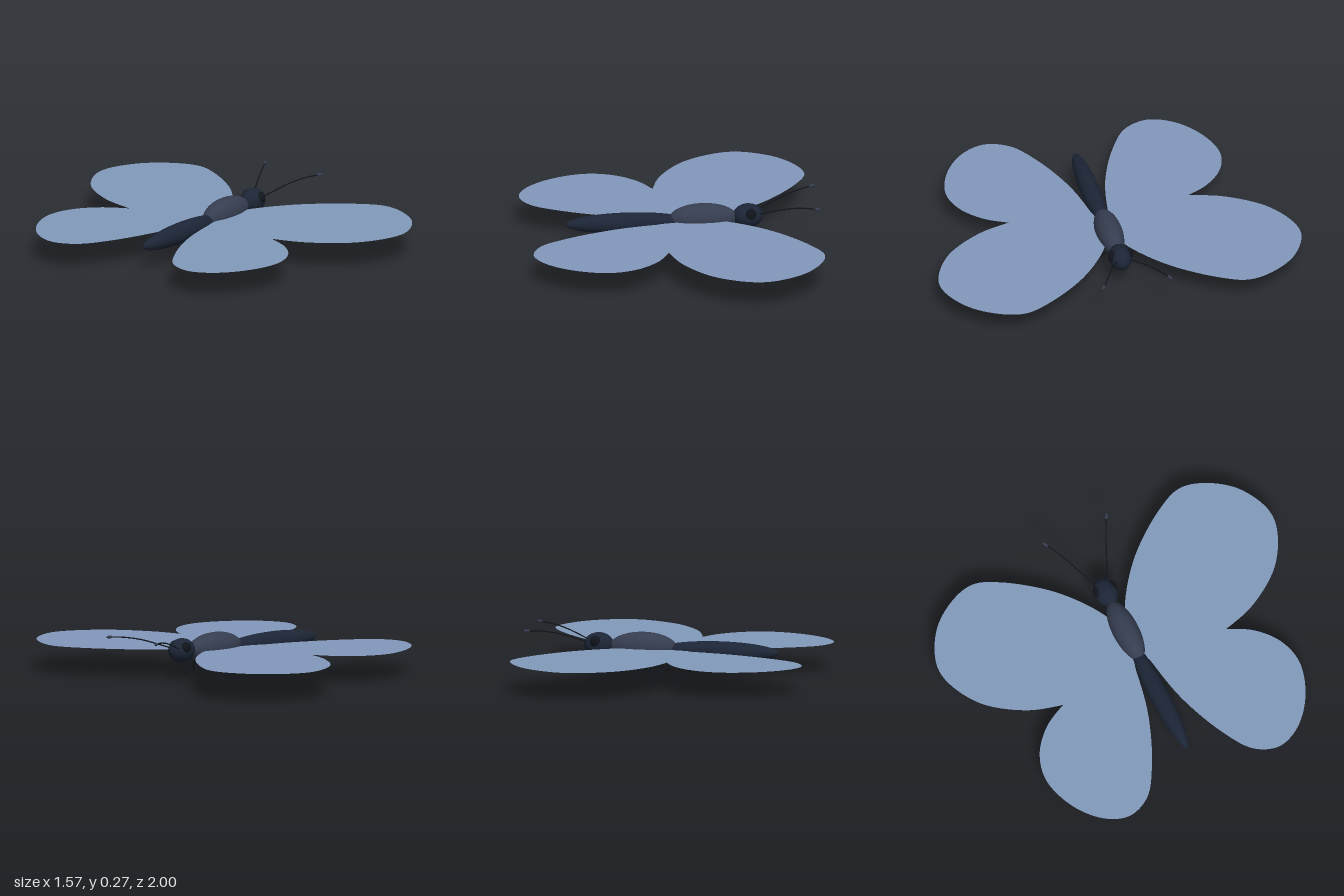
import * as THREE from 'three';

const paint = (color, side = THREE.FrontSide) =>
  new THREE.MeshStandardMaterial({ color, side });

export function createModel() {
  const model = new THREE.Group();
  const navy = paint(0x1c2536);
  const slate = paint(0x353d50);
  const black = paint(0x10141b);
  const wingBlue = paint(0x8299bb, THREE.DoubleSide);

  const add = (name, geometry, material) => {
    const mesh = new THREE.Mesh(geometry, material);
    mesh.name = name;
    model.add(mesh);
    return mesh;
  };

  const ellipsoid = (name, material, center, radii) => {
    const geometry = new THREE.SphereGeometry(1, 40, 28);
    geometry.rotateZ(Math.PI / 2); // poles along the body
    geometry.scale(...radii);
    const mesh = add(name, geometry, material);
    mesh.position.set(...center);
    return mesh;
  };

  const vectors = (points, side) =>
    points.map(([x, y, z]) => new THREE.Vector3(x, y, z * side));

  // Body, from tail to head
  ellipsoid('abdomen', navy, [-0.245, 0.148, 0], [0.335, 0.056, 0.052]);
  ellipsoid('thorax', slate, [0.163, 0.163, 0], [0.183, 0.081, 0.071]);
  ellipsoid('head', navy, [0.406, 0.17, 0], [0.081, 0.065, 0.062]);

  // Wing outlines as x, z pairs
  const foreOutline = [
    [-0.13, 0.11], [-0.105, 0.27], [-0.065, 0.49], [0.0, 0.69], [0.16, 0.9],
    [0.4, 1.0], [0.61, 0.915], [0.73, 0.76], [0.765, 0.62], [0.71, 0.48],
    [0.53, 0.24], [0.32, 0.075], [0.22, 0.035], [0.05, 0.04], [-0.1, 0.068],
  ];
  const hindOutline = [
    [0.0, 0.3], [-0.065, 0.49], [-0.14, 0.625], [-0.26, 0.725], [-0.41, 0.76],
    [-0.6, 0.7], [-0.74, 0.58], [-0.79, 0.45], [-0.74, 0.32], [-0.58, 0.21],
    [-0.31, 0.1], [-0.07, 0.05], [0.02, 0.04], [0.03, 0.14],
  ];
  const wing = (name, outline, side, height, slope) => {
    const curve = new THREE.CatmullRomCurve3(
      outline.map(([x, z]) => new THREE.Vector3(x, z * side, 0)), true);
    const shape = new THREE.Shape(
      curve.getPoints(120).slice(0, -1).map((p) => new THREE.Vector2(p.x, p.y)));
    const geometry = new THREE.ShapeGeometry(shape);
    geometry.rotateX(Math.PI / 2);
    const mesh = add(name, geometry, wingBlue);
    mesh.position.y = height;
    mesh.rotation.z = Math.atan(slope);
  };

  // One bent leg: thigh, shin and foot as tapering rods
  const leg = (name, offset, side) => {
    const joints = vectors([
      [0.03, 0.115, 0.028], [-0.01, 0.052, 0.095],
      [-0.075, 0.022, 0.16], [-0.04, 0.004, 0.205],
    ], side);
    const group = new THREE.Group();
    group.name = name;
    group.position.x = offset;
    ['thigh', 'shin', 'foot'].forEach((part, i) => {
      const path = new THREE.LineCurve3(joints[i], joints[i + 1]);
      const rod = new THREE.Mesh(
        new THREE.TubeGeometry(path, 1, 0.004 - i * 0.0006, 8), black);
      rod.name = part;
      group.add(rod);
    });
    model.add(group);
  };

  for (const side of [1, -1]) {
    const prefix = side > 0 ? 'front' : 'back';
    wing(prefix + 'Forewing', foreOutline, side, 0.156, 0.009);
    wing(prefix + 'Hindwing', hindOutline, side, 0.152, 0.006);

    // Eye bulging from the side of the head
    ellipsoid(prefix + 'Eye', black, [0.416, 0.188, 0.04 * side], [0.033, 0.033, 0.028]);

    // Curved antenna with a small club at the tip
    const path = new THREE.CatmullRomCurve3(vectors([
      [0.45, 0.182, 0.03], [0.53, 0.212, 0.068], [0.617, 0.24, 0.108],
      [0.7, 0.255, 0.148], [0.765, 0.259, 0.183],
    ], side));
    add(prefix + 'Antenna', new THREE.TubeGeometry(path, 32, 0.0035, 8), black);
    const club = ellipsoid(prefix + 'AntennaTip', slate,
      [0.765, 0.259, 0.183 * side], [0.018, 0.008, 0.008]);
    club.rotation.y = -0.45 * side;

    [0, 0.122, 0.24].forEach((x, i) => leg(prefix + 'Leg' + (i + 1), x, side));
  }
  return model;
}
